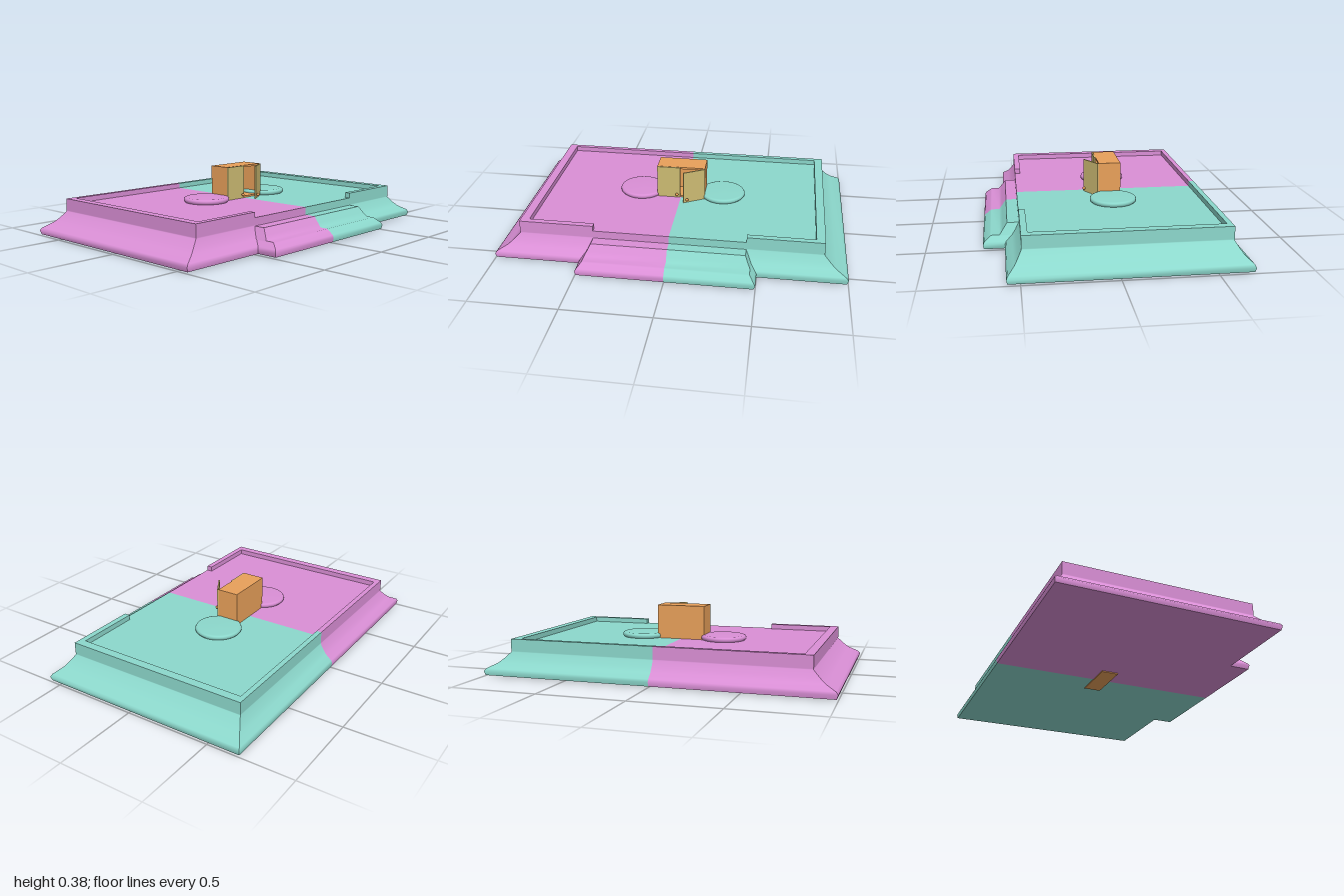
import * as THREE from 'three';

const mat = (color, side = THREE.FrontSide) => new THREE.MeshStandardMaterial({ color, side });

function add(parent, name, geometry, material, x = 0, y = 0, z = 0) {
  const mesh = new THREE.Mesh(geometry, material);
  mesh.name = name;
  mesh.position.set(x, y, z);
  parent.add(mesh);
  return mesh;
}

// Half of a moulded block on side s. Each layer is [y, halfWidth, zBack, zFront];
// panels are smooth along the moulding and sharp at the corners.
function halfBlock(layers, s) {
  const pos = [], index = [];
  const rings = layers.map(([y, w, zb, zf]) => {
    const ring = [[0, y, zb], [s * w, y, zb], [s * w, y, zf], [0, y, zf]];
    return s > 0 ? ring : ring.reverse();
  });
  for (let p = 0; p < 3; p++) {
    const start = pos.length / 3;
    rings.forEach((ring) => pos.push(...ring[p], ...ring[p + 1]));
    for (let i = 0; i < rings.length - 1; i++) {
      const a = start + i * 2;
      index.push(a, a + 2, a + 1, a + 1, a + 2, a + 3);
    }
  }
  const cap = (ring, order) => {
    const start = pos.length / 3;
    ring.forEach((v) => pos.push(...v));
    index.push(...order.map((i) => start + i));
  };
  cap(rings[0], [0, 1, 2, 0, 2, 3]);
  cap(rings[rings.length - 1], [0, 2, 1, 0, 3, 2]);
  const g = new THREE.BufferGeometry();
  g.setAttribute('position', new THREE.Float32BufferAttribute(pos, 3));
  g.setIndex(index);
  g.computeVertexNormals();
  return g;
}

// Flared plinth moulding, then the two-tread front step
const PLINTH = [
  [0.006, 0.992, -0.685, 0.565], [0.03, 1, -0.69, 0.57], [0.045, 0.988, -0.683, 0.563],
  [0.075, 0.93, -0.648, 0.528], [0.1, 0.9, -0.63, 0.51], [0.135, 0.865, -0.61, 0.49],
  [0.14, 0.865, -0.61, 0.49], [0.18, 0.865, -0.61, 0.49],
];
const STEP = [
  [0.006, 0.492, 0.48, 0.685], [0.03, 0.5, 0.48, 0.69], [0.045, 0.49, 0.48, 0.683],
  [0.07, 0.468, 0.48, 0.652], [0.075, 0.465, 0.48, 0.645], [0.076, 0.465, 0.48, 0.597],
  [0.1, 0.452, 0.48, 0.58], [0.135, 0.435, 0.48, 0.555],
];
// Raised rim, open in the middle of the front edge
const RIM = [[0, -0.61], [0.865, -0.61], [0.865, 0.49], [0.435, 0.49],
  [0.435, 0.455], [0.815, 0.455], [0.815, -0.58], [0, -0.58]];
// Round pad with a softened edge
const PAD = [[0.128, 0], [0.135, 0.008], [0.135, 0.018], [0.131, 0.025], [0.122, 0.029], [0, 0.03]];

function platformHalf(s, color) {
  const half = new THREE.Group();
  half.name = s > 0 ? 'leftPlatformHalf' : 'rightPlatformHalf';
  const m = mat(color);
  add(half, 'plinth', halfBlock(PLINTH, s), m);
  add(half, 'frontStep', halfBlock(STEP, s), m);
  const shape = new THREE.Shape(RIM.map(([x, z]) => new THREE.Vector2(s * x, z)));
  const rim = new THREE.ExtrudeGeometry(shape, { depth: 0.03, bevelEnabled: false });
  add(half, 'rim', rim.rotateX(Math.PI / 2), m, 0, 0.21, 0);
  const pad = new THREE.LatheGeometry(PAD.map(([r, y]) => new THREE.Vector2(r, y)), 48);
  add(half, 'roundPad', pad, m, s * 0.25, 0.18, -0.065);
  return half;
}

function cabinet() {
  const group = new THREE.Group();
  group.name = 'cabinet';
  const body = mat(0xe8a05a), doorMat = mat(0xcdbc73);
  const box = (name, w, h, d, x, y, z) =>
    add(group, name, new THREE.BoxGeometry(w, h, d), body, x, y, z);

  // Hollow carcass
  box('cabinetTop', 0.29, 0.012, 0.13, 0, 0.374, -0.06);
  box('cabinetFloor', 0.266, 0.012, 0.118, 0, 0.184, -0.054);
  box('cabinetBack', 0.29, 0.19, 0.012, 0, 0.273, -0.119);
  for (const s of [-1, 1]) box('cabinetSide', 0.012, 0.19, 0.118, s * 0.139, 0.273, -0.054);
  // Foot showing below the plinth
  box('cabinetFoot', 0.28, 0.02, 0.1, 0, 0.01, -0.04);

  // Pair of doors: right one shut, left one ajar
  for (const s of [-1, 1]) {
    const door = new THREE.Group();
    door.name = s > 0 ? 'leftDoor' : 'rightDoor';
    door.position.set(s * 0.145, 0.28, 0.009);
    door.rotation.y = s > 0 ? 0.53 : 0;
    add(door, 'doorPanel', new THREE.BoxGeometry(0.14, 0.198, 0.008), doorMat, -s * 0.07, 0, 0);
    add(door, 'doorKnob', new THREE.SphereGeometry(0.009, 16, 10), body, -s * 0.122, -0.077, 0.014);
    group.add(door);
  }
  return group;
}

export function createModel() {
  const model = new THREE.Group();
  model.name = 'platformWithCabinet';
  model.add(platformHalf(-1, 0xda8fd6), platformHalf(1, 0x8cd8cc), cabinet());
  return model;
}
